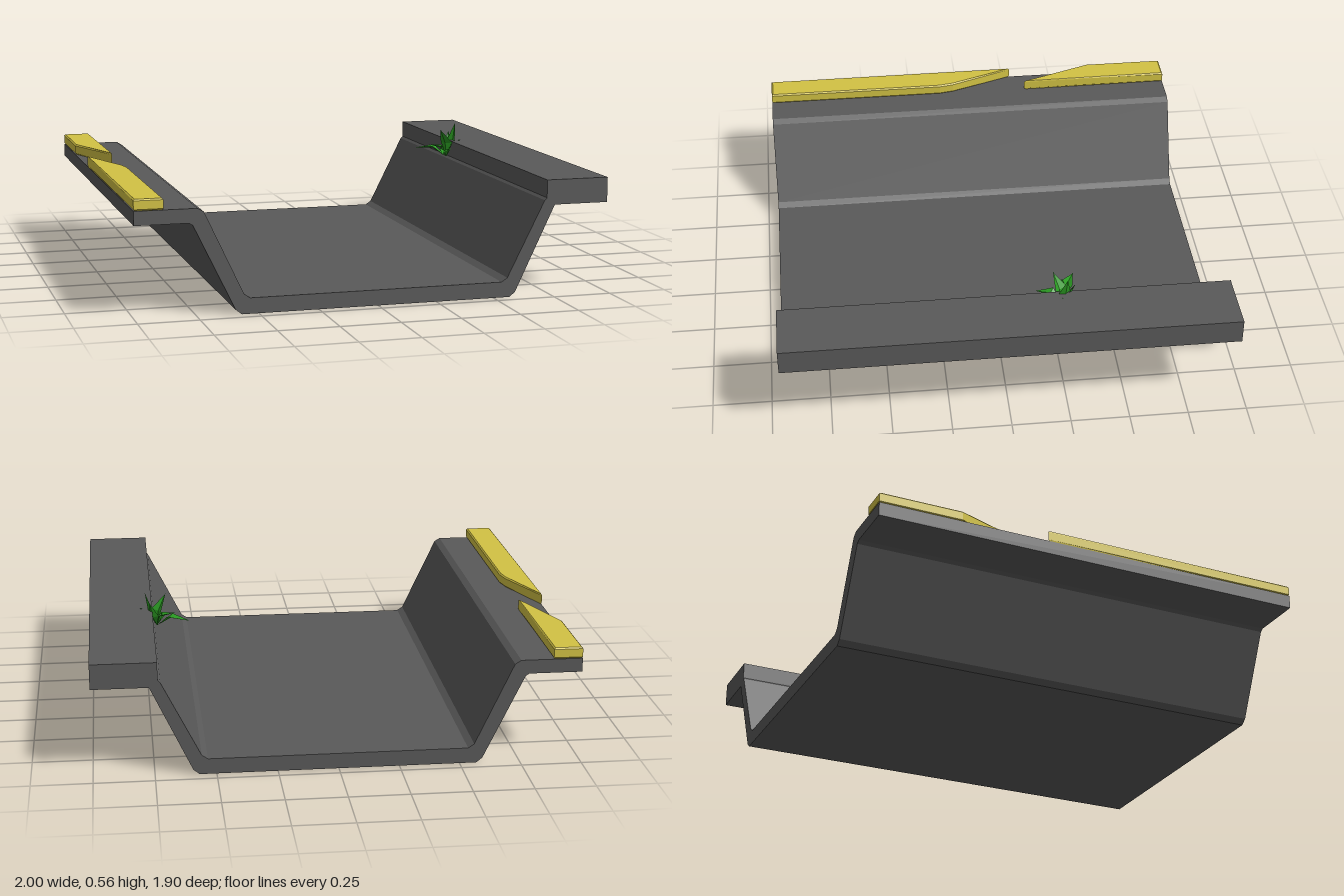
import * as THREE from 'three';

const HALF = 0.95;
const paint = (color, side = THREE.FrontSide) =>
  new THREE.MeshStandardMaterial({ color, flatShading: true, side });
const outline = (points) => new THREE.Shape(points.map(([x, y]) => new THREE.Vector2(x, y)));

// Trough cross-section, swept along z
function makeChannel() {
  const shape = outline([
    [-1, 0.38], [-0.78, 0.38], [-0.765, 0.37], [-0.595, 0.02], [-0.57, 0],
    [0.57, 0], [0.595, 0.02], [0.765, 0.38], [1, 0.38], [1, 0.485],
    [0.73, 0.485], [0.73, 0.41], [0.72, 0.40], [0.56, 0.082], [0.535, 0.065],
    [-0.535, 0.065], [-0.56, 0.082], [-0.72, 0.423], [-0.745, 0.438], [-1, 0.438],
  ]);
  const geometry = new THREE.ExtrudeGeometry(shape, { depth: 2 * HALF, bevelEnabled: false });
  geometry.translate(0, 0, -HALF);
  const mesh = new THREE.Mesh(geometry, paint(0x595959));
  mesh.name = 'channel';
  return mesh;
}

// Raised kerb, drawn in plan as [x, z] and thickened upwards with a small bevel
function makeKerb(name, plan) {
  const bevel = 0.006;
  const shape = outline(plan.map(([x, z]) => [x, -z]));
  const geometry = new THREE.ExtrudeGeometry(shape, {
    depth: 0.047 - 2 * bevel, bevelThickness: bevel, bevelSize: bevel,
    bevelOffset: -bevel, bevelSegments: 1,
  });
  geometry.rotateX(-Math.PI / 2).translate(0, 0.438 + bevel, 0);
  const mesh = new THREE.Mesh(geometry, paint(0xd2c244));
  mesh.name = name;
  return mesh;
}

// Pointed leaf, folded along its midrib
function makeLeaf(root, tip, width, bend) {
  const a = new THREE.Vector3(...root), b = new THREE.Vector3(...tip);
  const along = b.clone().sub(a).normalize();
  const across = new THREE.Vector3(0, 1, 0).cross(along).normalize();
  const up = along.clone().cross(across);
  const rib = a.clone().lerp(b, 0.45).addScaledVector(up, bend);
  const edge = (s) => rib.clone().addScaledVector(across, s * width / 2).addScaledVector(up, 0.012);
  const left = edge(1), right = edge(-1);
  const faces = [a, rib, left, left, rib, b, a, right, rib, right, b, rib];
  const geometry = new THREE.BufferGeometry().setFromPoints(faces);
  geometry.computeVertexNormals();
  const mesh = new THREE.Mesh(geometry, paint(0x2a9a22, THREE.DoubleSide));
  mesh.name = 'leaf';
  return mesh;
}

function makePlant() {
  const plant = new THREE.Group();
  plant.name = 'plant';
  const root = [0.71, 0.41, -0.235];
  [
    [[0.57, 0.448, -0.305], 0.06, 0.025],
    [[0.67, 0.543, -0.205], 0.065, 0.015],
    [[0.76, 0.565, -0.255], 0.06, -0.015],
    [[0.655, 0.435, -0.135], 0.05, 0.025],
    [[0.74, 0.525, -0.29], 0.045, -0.01],
    [[0.785, 0.49, -0.235], 0.05, 0.02],
    [[0.63, 0.47, -0.25], 0.05, 0.02],
  ].forEach(([tip, width, bend]) => plant.add(makeLeaf(root, tip, width, bend)));
  return plant;
}

export function createModel() {
  const model = new THREE.Group();
  model.name = 'drainageChannel';
  model.add(
    makeChannel(),
    makeKerb('backKerb', [[-1, -HALF], [-1, -0.59], [-0.88, -0.27], [-0.88, -HALF]]),
    makeKerb('frontKerb', [[-1, -0.21], [-1, HALF], [-0.88, HALF], [-0.88, 0.14], [-0.892, 0.075]]),
    makePlant(),
  );
  return model;
}
